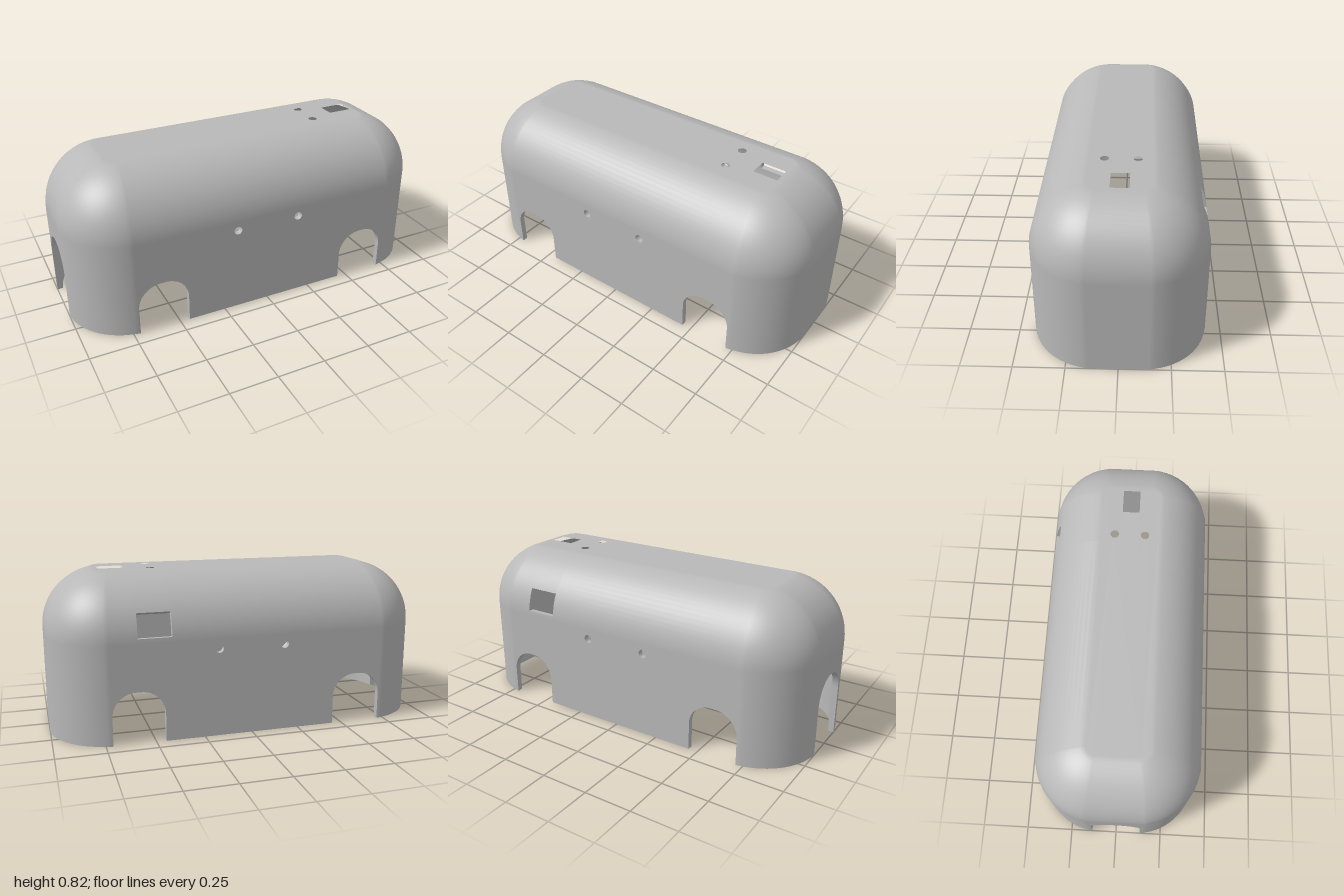
import * as THREE from 'three';

const FX = 0.68, FZ = 0.105, WALL = 0.505, R = 0.32, T = 0.03; // corner centres, wall height, radius, thickness
const LAP = 0.125;                     // how far flat panels reach into the rounding, as a share of R
const STEP = Math.PI / 40, TOP = 18;   // fillet level step and last level
const CUT = { x0: 0.41, x1: 0.58, from: 1, to: 6 }; // window in the rear fillet

// Columns around the plan outline: four rounded corners plus the window edges at the back
function makeColumns() {
  const cols = [];
  [[1, 1], [-1, 1], [-1, -1], [1, -1]].forEach(([sx, sz], q) => {
    for (let i = 0; i <= 16; i++) {
      if (i === 1 || i === 15) continue;
      const a = (q + i / 16) * Math.PI / 2, nx = Math.cos(a), nz = Math.sin(a);
      cols.push({
        q, cx: sx * FX, cz: sz * FZ, nx, nz,
        ox: sx * Math.max(Math.abs(nx), LAP), oz: sz * Math.max(Math.abs(nz), LAP)
      });
    }
    if (q === 2) for (const x of [CUT.x0, CUT.x1]) cols.push({ q: -1, cx: x, cz: -FZ, nx: 0, nz: -1, ox: 0, oz: -1 });
  });
  return cols;
}
const columns = makeColumns();

// Point and normal on the outer (inner = false) or inner skin; level -1 is the floor
function skin(c, level, inner) {
  const r = inner ? R - T : R, b = Math.max(level, 0) * STEP, s = inner ? -1 : 1;
  const flat = level === TOP;
  const y = level < 0 ? 0 : WALL + r * (flat ? 1 : Math.sin(b));
  const k = r * Math.cos(b), h = flat ? 0 : Math.cos(b);
  return {
    p: new THREE.Vector3(c.cx + k * c.ox, y, c.cz + k * c.oz),
    n: new THREE.Vector3(c.nx * h, flat ? 1 : Math.sin(b), c.nz * h).multiplyScalar(s)
  };
}

// Collects quads; winding follows the given normals
class Quads {
  pos = []; nor = [];
  add(a, b, c, d, normal) {
    for (let tri of [[a, b, c], [a, c, d]]) {
      const f = tri[1].p.clone().sub(tri[0].p).cross(tri[2].p.clone().sub(tri[0].p));
      if (f.dot(normal || tri[0].n.clone().add(tri[1].n).add(tri[2].n)) < 0) tri = [tri[0], tri[2], tri[1]];
      for (const v of tri) {
        this.pos.push(...v.p.toArray());
        this.nor.push(...(normal || v.n).toArray());
      }
    }
  }
  geometry() {
    const g = new THREE.BufferGeometry();
    g.setAttribute('position', new THREE.Float32BufferAttribute(this.pos, 3));
    g.setAttribute('normal', new THREE.Float32BufferAttribute(this.nor, 3));
    return g;
  }
}

// Rounded vertical corners with their bottom rim
function cornerGeometry() {
  const quads = new Quads(), down = new THREE.Vector3(0, -1, 0);
  columns.forEach((c, i) => {
    const d = columns[(i + 1) % columns.length];
    if (c.q < 0 || c.q !== d.q) return;
    for (const inner of [false, true])
      quads.add(skin(c, -1, inner), skin(d, -1, inner), skin(d, 0, inner), skin(c, 0, inner));
    quads.add(skin(c, -1, false), skin(d, -1, false), skin(d, -1, true), skin(c, -1, true), down);
  });
  return quads.geometry();
}

// Rounded shoulder between walls and roof, with the rear window left open
function shoulderGeometry() {
  const quads = new Quads();
  columns.forEach((c, i) => {
    const d = columns[(i + 1) % columns.length];
    const window = c.q < 0 && d.q < 0;
    for (let l = 0; l < TOP; l++) {
      if (window && l >= CUT.from && l < CUT.to) {
        // side jambs
        for (const [e, s] of [[c, 1], [d, -1]])
          quads.add(skin(e, l, false), skin(e, l + 1, false), skin(e, l + 1, true), skin(e, l, true), new THREE.Vector3(s, 0, 0));
        continue;
      }
      for (const inner of [false, true])
        quads.add(skin(c, l, inner), skin(d, l, inner), skin(d, l + 1, inner), skin(c, l + 1, inner));
    }
    // sill and head
    if (window) for (const [l, s] of [[CUT.from, 1], [CUT.to, -1]]) {
      const b = l * STEP;
      quads.add(skin(c, l, false), skin(d, l, false), skin(d, l, true), skin(c, l, true),
        new THREE.Vector3(0, Math.cos(b) * s, Math.sin(b) * s));
    }
  });
  return quads.geometry();
}

function circleHole(x, y, r) {
  const h = new THREE.Path();
  h.absarc(x, y, r, 0, Math.PI * 2, true);
  return h;
}

function extrude(shape) {
  return new THREE.ExtrudeGeometry(shape, { depth: T, bevelEnabled: false, curveSegments: 16 });
}

// Flat wall with round-topped openings [left, right, height, radius] along its foot
function wallGeometry(half, arches, holes = []) {
  const s = new THREE.Shape();
  s.moveTo(-half, 0);
  for (const [l, r, h, rad] of arches) {
    s.lineTo(l, 0);
    s.lineTo(l, h - rad);
    s.absarc(l + rad, h - rad, rad, Math.PI, Math.PI / 2, true);
    s.absarc(r - rad, h - rad, rad, Math.PI / 2, 0, true);
    s.lineTo(r, 0);
  }
  s.lineTo(half, 0);
  s.lineTo(half, WALL);
  s.lineTo(-half, WALL);
  s.closePath();
  s.holes.push(...holes);
  return extrude(s).translate(0, 0, R - T);
}

// Roof panel with a slot and two small holes
function roofGeometry() {
  const k = R * Math.cos(TOP * STEP), s = new THREE.Shape();
  columns.forEach((c, i) => {
    const x = c.cx + k * c.ox, y = -(c.cz + k * c.oz);
    if (i) s.lineTo(x, y); else s.moveTo(x, y);
  });
  s.closePath();
  const slot = new THREE.Path();
  slot.moveTo(0.585, -0.045);
  slot.lineTo(0.585, 0.045);
  slot.lineTo(0.715, 0.045);
  slot.lineTo(0.715, -0.045);
  slot.closePath();
  s.holes.push(slot, circleHole(0.45, 0.08, 0.022), circleHole(0.45, -0.08, 0.022));
  return extrude(s).rotateX(-Math.PI / 2).translate(0, WALL + R - T, 0);
}

export function createModel() {
  const group = new THREE.Group();
  group.name = 'coverShell';
  const grey = new THREE.MeshStandardMaterial({ color: 0xb8b8b8 });
  grey.name = 'grey';
  const add = (name, geometry) => {
    const mesh = new THREE.Mesh(geometry, grey);
    mesh.name = name;
    group.add(mesh);
  };

  const sideArches = [[-0.715, -0.45, 0.265, 0.12], [0.45, 0.715, 0.265, 0.12]];
  const screwHoles = [circleHole(-0.173, 0.455, 0.022), circleHole(0.173, 0.455, 0.022)];
  const long = FX + LAP * R, short = FZ + LAP * R;
  add('frontWall', wallGeometry(long, sideArches, screwHoles).translate(0, 0, FZ));
  add('backWall', wallGeometry(long, sideArches, screwHoles).translate(0, 0, FZ).rotateY(Math.PI));
  add('leftEndWall', wallGeometry(short, []).translate(0, 0, FX).rotateY(Math.PI / 2));
  add('rightEndWall', wallGeometry(short, [[-0.133, 0.133, 0.39, 0.13]]).translate(0, 0, FX).rotateY(-Math.PI / 2));
  add('corners', cornerGeometry());
  add('shoulder', shoulderGeometry());
  add('roof', roofGeometry());
  return group;
}
